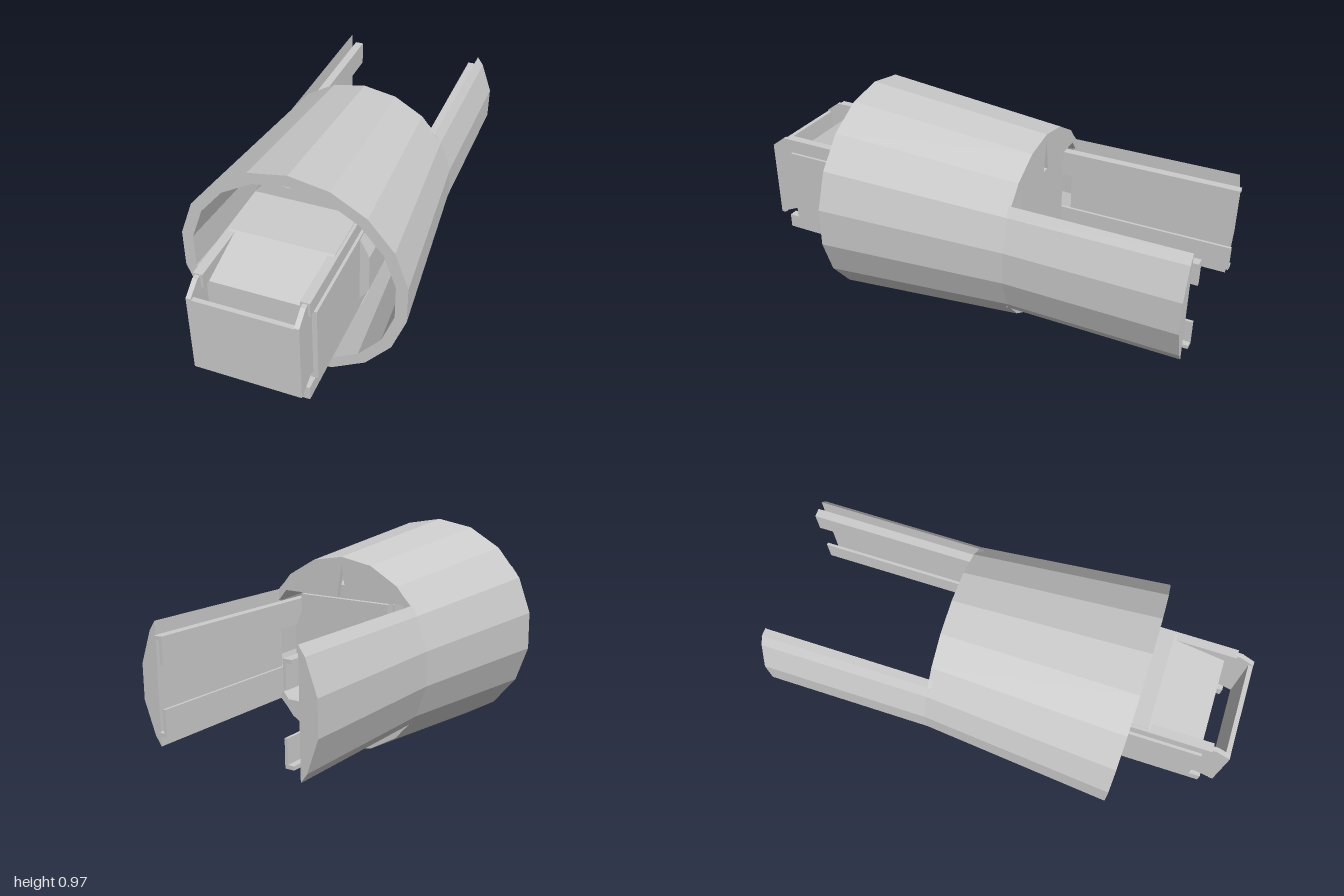
import * as THREE from 'three';

const CY = 0.49; // height of the long axis
const STEP = Math.PI / 9; // 18-sided shell

export function createModel() {
  const model = new THREE.Group();
  const mat = new THREE.MeshStandardMaterial({ color: 0xcccccc, flatShading: true, side: THREE.DoubleSide });

  const add = (name, geometry) => {
    const mesh = new THREE.Mesh(geometry, mat);
    mesh.name = name;
    model.add(mesh);
    return mesh;
  };
  // box given by its limits, y measured from the long axis
  const box = (name, x0, x1, y0, y1, z0, z1) => {
    const g = new THREE.BoxGeometry(Math.abs(x1 - x0), Math.abs(y1 - y0), z1 - z0);
    add(name, g).position.set((x0 + x1) / 2, CY + (y0 + y1) / 2, (z0 + z1) / 2);
  };
  // cross-section in x,y extruded from z0 to z1
  const prism = (name, pts, z0, z1) => {
    const shape = new THREE.Shape(pts.map(p => new THREE.Vector2(...p)));
    const g = new THREE.ExtrudeGeometry(shape, { depth: z1 - z0, bevelEnabled: false });
    add(name, g).position.set(0, CY, z0);
  };
  // profile in z,y extruded from x0 to x1
  const sideProfile = (name, pts, x0, x1) => {
    const shape = new THREE.Shape(pts.map(([z, y]) => new THREE.Vector2(-z, y)));
    const g = new THREE.ExtrudeGeometry(shape, { depth: x1 - x0, bevelEnabled: false });
    g.rotateY(Math.PI / 2);
    add(name, g).position.set(x0, CY, 0);
  };

  // tapered hollow shell
  const wall = [[0.385, -0.25], [0.413, -0.25], [0.487, 0.575], [0.437, 0.575], [0.385, -0.25]];
  const shell = new THREE.LatheGeometry(wall.map(p => new THREE.Vector2(...p)), 18);
  shell.rotateX(Math.PI / 2);
  add('shell', shell).position.y = CY;

  for (const s of [1, -1]) {
    // rear arm: circle segment with a flat inner face
    const arm = [[0.33 * s, -0.245]];
    for (const a of [-1.5, -0.5, 0.5, 1.5]) {
      arm.push([0.413 * Math.cos(a * STEP) * s, 0.413 * Math.sin(a * STEP)]);
    }
    arm.push([0.33 * s, 0.245]);
    prism('rearArm', arm, -0.98, -0.24);

    // rear cap: circle segment with a narrow notch in the middle
    const cap = [[0.022, 0.245 * s], [0.33, 0.245 * s]];
    for (const a of [2, 1, 0, -1, -2]) {
      cap.push([0.41 * Math.sin(a * STEP), 0.41 * Math.cos(a * STEP) * s]);
    }
    cap.push([-0.33, 0.245 * s], [-0.022, 0.245 * s], [0, 0.385 * s]);
    prism('rearCap', cap, -0.25, -0.23);

    // angled side pad
    prism('sidePad', [[0.235 * s, -0.16], [0.28 * s, -0.09], [0.28 * s, 0.08], [0.235 * s, 0.17]], -0.2, 0.45);

    // side panel and front cheek of the core
    box('sidePanel', 0.21 * s, 0.24 * s, -0.17, 0.17, -0.2, 0.89);
    const cx = s > 0 ? 0.2 : -0.22;
    sideProfile('frontCheek', [[0.86, -0.16], [0.91, -0.13], [1, -0.17], [1, 0.18], [0.94, 0.225], [0.86, 0.23]], cx, cx + 0.02);

    for (const t of [1, -1]) {
      // L-shaped guide rail along the arm
      const rail = [[0.28, 0.085], [0.292, 0.085], [0.292, 0.18], [0.318, 0.18], [0.318, 0.195], [0.28, 0.195]];
      prism('guideRail', rail.map(([x, y]) => [x * s, y * t]), -1, -0.1);
      // corner strip of the core
      box('cornerStrip', 0.19 * s, 0.228 * s, 0.17 * t, 0.232 * t, -0.2, t > 0 ? 0.92 : 0.945);
      // spacer block between core and shell
      box('spacerBlock', 0.07 * s, 0.18 * s, 0.28 * t, 0.35 * t, -0.22, 0.35);
    }
    // spacer base, narrowing outward
    prism('spacerBase', [[-0.23, 0.235 * s], [0.23, 0.235 * s], [0.18, 0.29 * s], [-0.18, 0.29 * s]], -0.22, 0.4);
  }

  // core block with ramped top and bottom
  sideProfile('core', [[-0.24, -0.235], [0.65, -0.235], [0.88, -0.17], [0.88, 0.17], [0.65, 0.235], [-0.24, 0.235]], -0.215, 0.215);
  box('frontPlate', -0.22, 0.22, -0.17, 0.175, 0.98, 1);

  return model;
}
